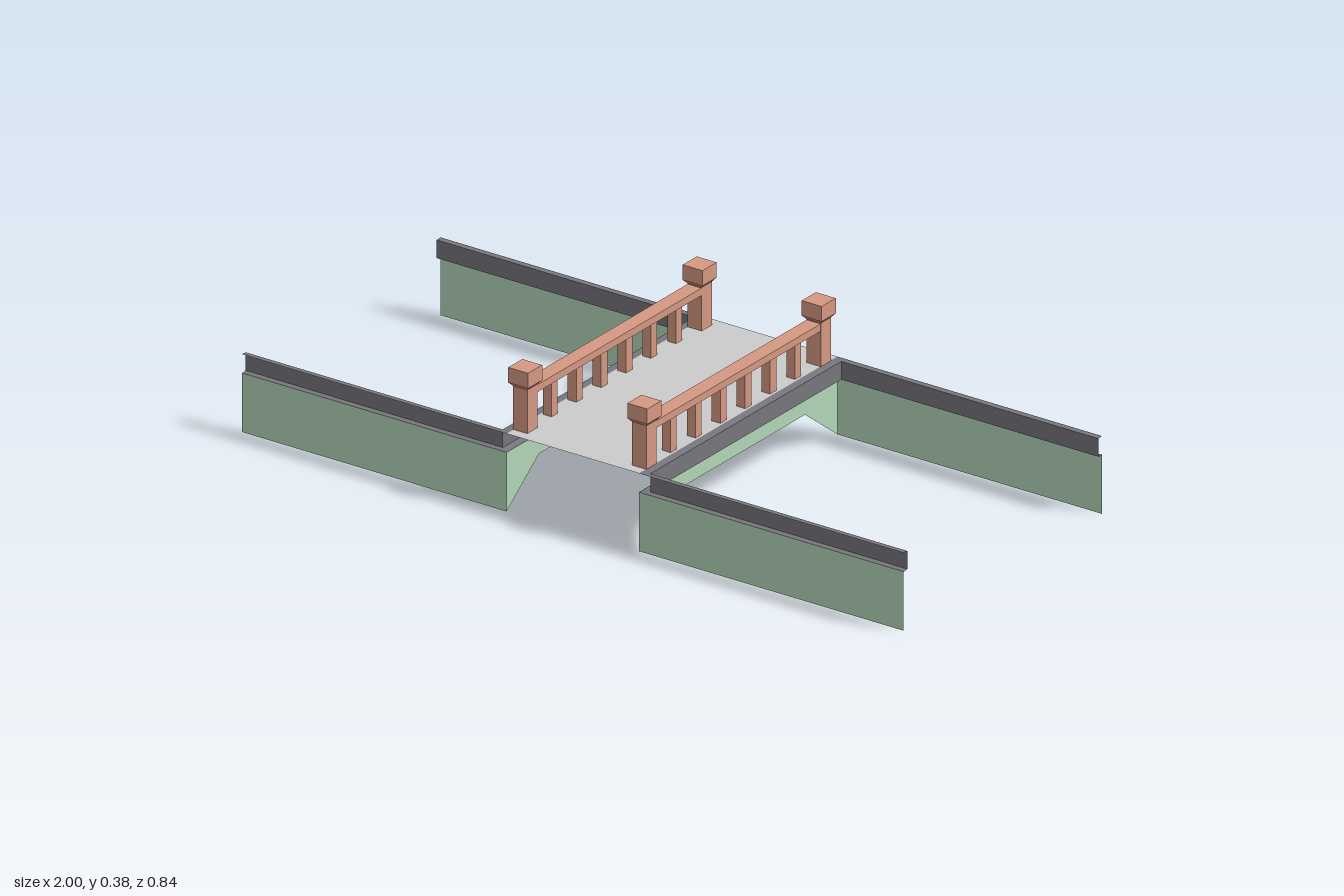
import * as THREE from 'three';

const W = 0.2;      // half width of the bridge deck
const Z = 0.42;     // half span across the canal
const WALL = 0.16;  // top of the walls
const TOP = 0.211;  // deck and kerb top

const mat = (color, side = THREE.FrontSide) =>
  new THREE.MeshStandardMaterial({ color, side, flatShading: true });

function add(parent, name, geometry, material, x = 0, y = 0, z = 0) {
  const mesh = new THREE.Mesh(geometry, material);
  mesh.name = name;
  mesh.position.set(x, y, z);
  parent.add(mesh);
  return mesh;
}

// Open strip of quads between successive rings of points
function loft(rings) {
  const pos = [], idx = [], n = rings[0].length;
  rings.forEach((ring) => ring.forEach((p) => pos.push(...p)));
  for (let r = 0; r < rings.length - 1; r++) {
    for (let i = 0; i < n - 1; i++) {
      const a = r * n + i, b = a + n;
      idx.push(a, b, a + 1, b, b + 1, a + 1);
    }
  }
  const g = new THREE.BufferGeometry();
  g.setAttribute('position', new THREE.Float32BufferAttribute(pos, 3));
  g.setIndex(idx);
  const flat = g.toNonIndexed();
  flat.computeVertexNormals();
  return flat;
}

export function createModel() {
  const group = new THREE.Group();
  const wallMat = mat(0xb3d6b8, THREE.DoubleSide);
  const kerbMat = mat(0x77777d, THREE.DoubleSide);
  const deckMat = mat(0xcccccc, THREE.DoubleSide);
  const brick = mat(0xd59982);

  // Deck: a thin open sheet
  const deck = new THREE.PlaneGeometry(2 * W, 2 * Z).rotateX(-Math.PI / 2);
  add(group, 'deck', deck, deckMat, 0, TOP, 0);

  // Arch face below the deck edge
  const arch = new THREE.Shape([
    [-Z, 0], [-0.283, 0.105], [0.283, 0.105], [Z, 0], [Z, WALL], [-Z, WALL],
  ].map(([x, y]) => new THREE.Vector2(x, y)));
  const archGeo = new THREE.ShapeGeometry(arch).rotateY(Math.PI / 2);
  const bankGeo = new THREE.PlaneGeometry(1 - W, WALL);

  // Railing pieces
  const postGeo = new THREE.BoxGeometry(0.043, 0.122, 0.043);
  const neckGeo = new THREE.CylinderGeometry(0.03 * Math.SQRT2, 0.0215 * Math.SQRT2, 0.01, 4, 1)
    .rotateY(Math.PI / 4);
  const capGeo = new THREE.BoxGeometry(0.06, 0.041, 0.06);
  const railGeo = new THREE.BoxGeometry(0.042, 0.02, 0.7);
  const balusterGeo = new THREE.BoxGeometry(0.026, 0.1, 0.026);

  for (const s of [1, -1]) {
    const side = new THREE.Group();
    side.name = s > 0 ? 'leftSide' : 'rightSide';
    group.add(side);

    // Walls: arch face and two canal banks
    add(side, 'archWall', archGeo, wallMat, s * W, 0, 0);
    for (const e of [1, -1]) {
      add(side, 'canalWall', bankGeo, wallMat, s * (1 + W) / 2, WALL / 2, e * Z);
    }

    // Kerb: channel profile overhanging the canal, mitred at the bridge corners
    const stations = [[1, 1, 0], [W, 1, 1], [W, -1, 1], [1, -1, 0]];
    const kerb = loft(stations.map(([x, e, corner]) =>
      [[0, TOP], [1, TOP - 0.001], [1, WALL + 0.001], [0, WALL - 0.001]].map(([out, y]) =>
        [s * (x + corner * out * 0.023), y, e * (Z - out * 0.016)])));
    add(side, 'kerb', kerb, kerbMat);

    // Railing
    const railing = new THREE.Group();
    railing.name = 'railing';
    railing.position.x = s * 0.18;
    side.add(railing);
    add(railing, 'handrail', railGeo, brick, 0, 0.317, 0);
    for (const e of [1, -1]) {
      add(railing, 'post', postGeo, brick, 0, 0.269, e * 0.369);
      add(railing, 'postNeck', neckGeo, brick, 0, 0.334, e * 0.369);
      add(railing, 'postCap', capGeo, brick, 0, 0.3595, e * 0.369);
    }
    for (let i = 0; i < 6; i++) {
      add(railing, 'baluster', balusterGeo, brick, 0, 0.259, (i - 2.5) * 0.1053);
    }
  }
  return group;
}
